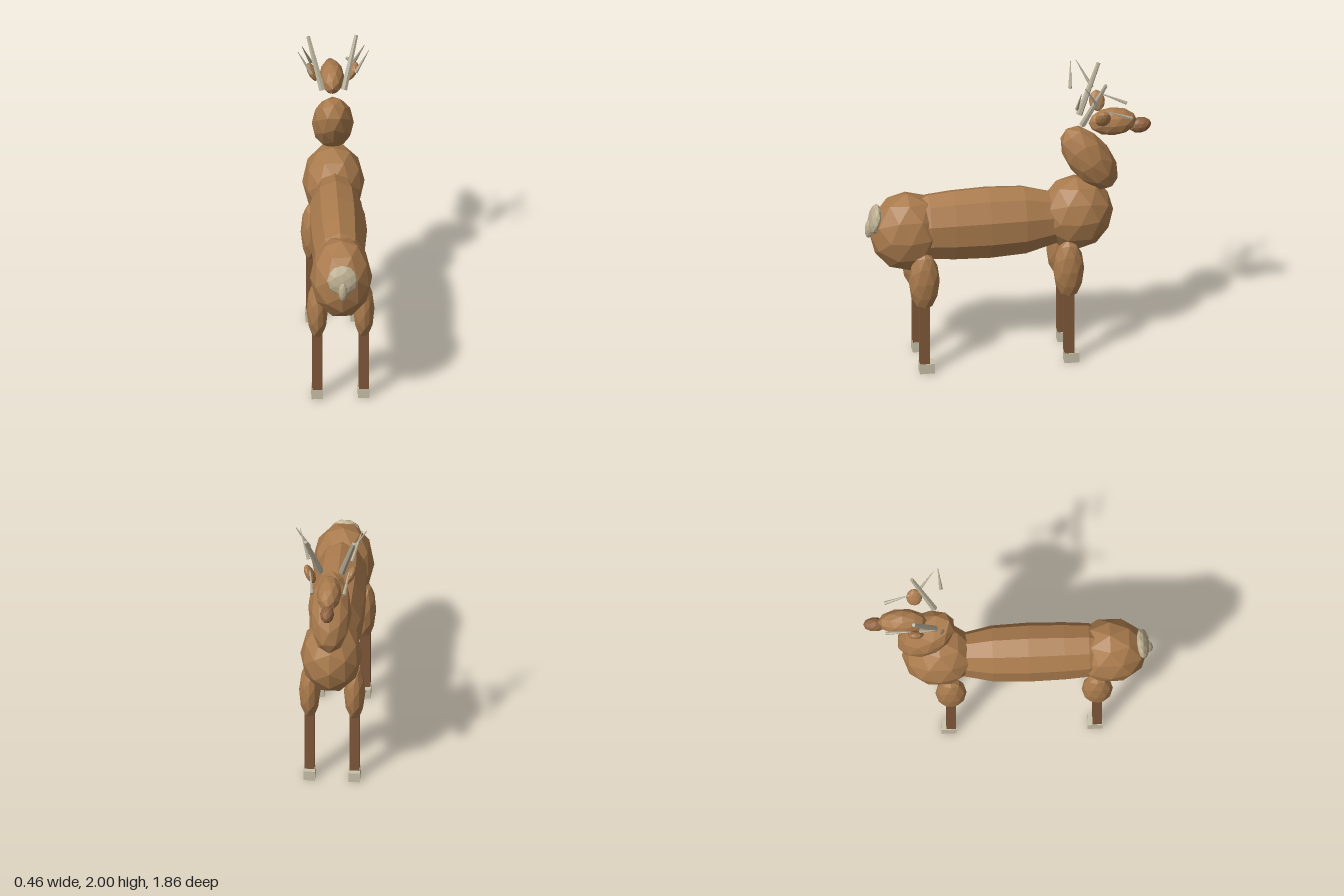
import * as THREE from 'three';

const material = (name, color) => {
  const m = new THREE.MeshStandardMaterial({ color });
  m.name = name;
  return m;
};

export function createModel() {
  const deer = new THREE.Group();
  deer.name = 'deer';

  const fur = material('fur', 0xaa7b4d);
  const darkFur = material('dark fur', 0x80583a);
  const muzzleFur = material('muzzle fur', 0x8f6240);
  const hoofHorn = material('hoof', 0xc9c1aa);
  const antlerBone = material('antler', 0xb6ae99);
  const paleFur = material('pale fur', 0xbcae90);

  // Adds a faceted mesh with one normal per face
  function add(name, geometry, mat, position, rotation = [0, 0, 0]) {
    const flat = geometry.index ? geometry.toNonIndexed() : geometry;
    flat.computeVertexNormals();
    const mesh = new THREE.Mesh(flat, mat);
    mesh.name = name;
    mesh.position.set(...position);
    mesh.rotation.set(...rotation);
    deer.add(mesh);
    return mesh;
  }

  // Low-poly ellipsoid with the given radii
  const blob = (name, mat, radii, position, rotation) =>
    add(name, new THREE.IcosahedronGeometry(1, 1).scale(...radii), mat, position, rotation);

  // Tapered rod running from point a to point b
  function rod(name, mat, a, b, ra, rb) {
    const from = new THREE.Vector3(...a), to = new THREE.Vector3(...b);
    const dir = to.clone().sub(from);
    const mid = from.clone().add(to).multiplyScalar(0.5);
    const mesh = add(name, new THREE.CylinderGeometry(rb, ra, dir.length(), 6), mat, mid.toArray());
    mesh.quaternion.setFromUnitVectors(new THREE.Vector3(0, 1, 0), dir.normalize());
  }

  // Barrel of the body: [z, relative radius]
  const profile = [[-0.46, 0.01], [-0.42, 0.6], [-0.23, 0.8], [-0.1, 0.95], [0.13, 1],
    [0.36, 0.97], [0.52, 0.91], [0.68, 0.6], [0.72, 0.01]];
  const barrel = new THREE.LatheGeometry(profile.map(([z, r]) => new THREE.Vector2(r, z)), 10)
    .rotateX(Math.PI / 2).scale(0.182, 0.25, 1);
  add('body', barrel, fur, [0, 0.97, 0]);
  blob('hips', fur, [0.2, 0.27, 0.245], [0, 0.95, 0.655]);
  blob('chest', fur, [0.2, 0.25, 0.24], [0, 1.0, -0.44]);

  // Neck and head
  blob('neck', fur, [0.135, 0.265, 0.14], [0, 1.385, -0.525], [0.6, 0, 0]);
  blob('head', fur, [0.08, 0.093, 0.157], [0, 1.637, -0.678]);
  blob('muzzle', muzzleFur, [0.045, 0.052, 0.075], [0, 1.597, -0.853], [0.1, 0, 0]);

  // Pale rump and tail
  blob('rumpPatch', paleFur, [0.1, 0.1, 0.04], [0, 1.052, 0.865], [-0.2, 0, 0]);
  blob('tail', paleFur, [0.03, 0.07, 0.03], [0, 0.99, 0.9], [-0.1, 0, 0]);

  for (const s of [1, -1]) {
    const side = s > 0 ? 'left' : 'right';

    blob(side + 'Ear', fur, [0.028, 0.07, 0.052], [s * 0.128, 1.727, -0.595], [0, 0, -s * 0.45]);

    // Antler beam with three tines
    rod(side + 'AntlerBeam', antlerBone, [s * 0.07, 1.665, -0.47], [s * 0.155, 1.985, -0.61], 0.022, 0.013);
    rod(side + 'RearTine', antlerBone, [s * 0.143, 1.822, -0.423], [s * 0.228, 1.975, -0.44], 0.012, 0.002);
    rod(side + 'FrontTine', antlerBone, [s * 0.14, 1.82, -0.565], [s * 0.2, 1.995, -0.47], 0.012, 0.002);
    rod(side + 'BrowTine', antlerBone, [s * 0.103, 1.705, -0.785], [s * 0.125, 1.775, -0.625], 0.012, 0.003);

    // Legs, front pair then hind pair
    for (const [pair, x, z, thighY] of [['Front', 0.144, -0.37, 0.665], ['Hind', 0.149, 0.567, 0.655]]) {
      const leg = side + pair;
      blob(leg + 'Thigh', fur, [0.069, 0.21, 0.1], [s * x, thighY, z]);
      add(leg + 'Shin', new THREE.BoxGeometry(0.064, 0.44, 0.062), darkFur, [s * x, 0.285, z]);
      add(leg + 'Hoof', new THREE.BoxGeometry(0.074, 0.068, 0.095), hoofHorn, [s * x, 0.034, z - 0.015]);
    }
  }
  return deer;
}
